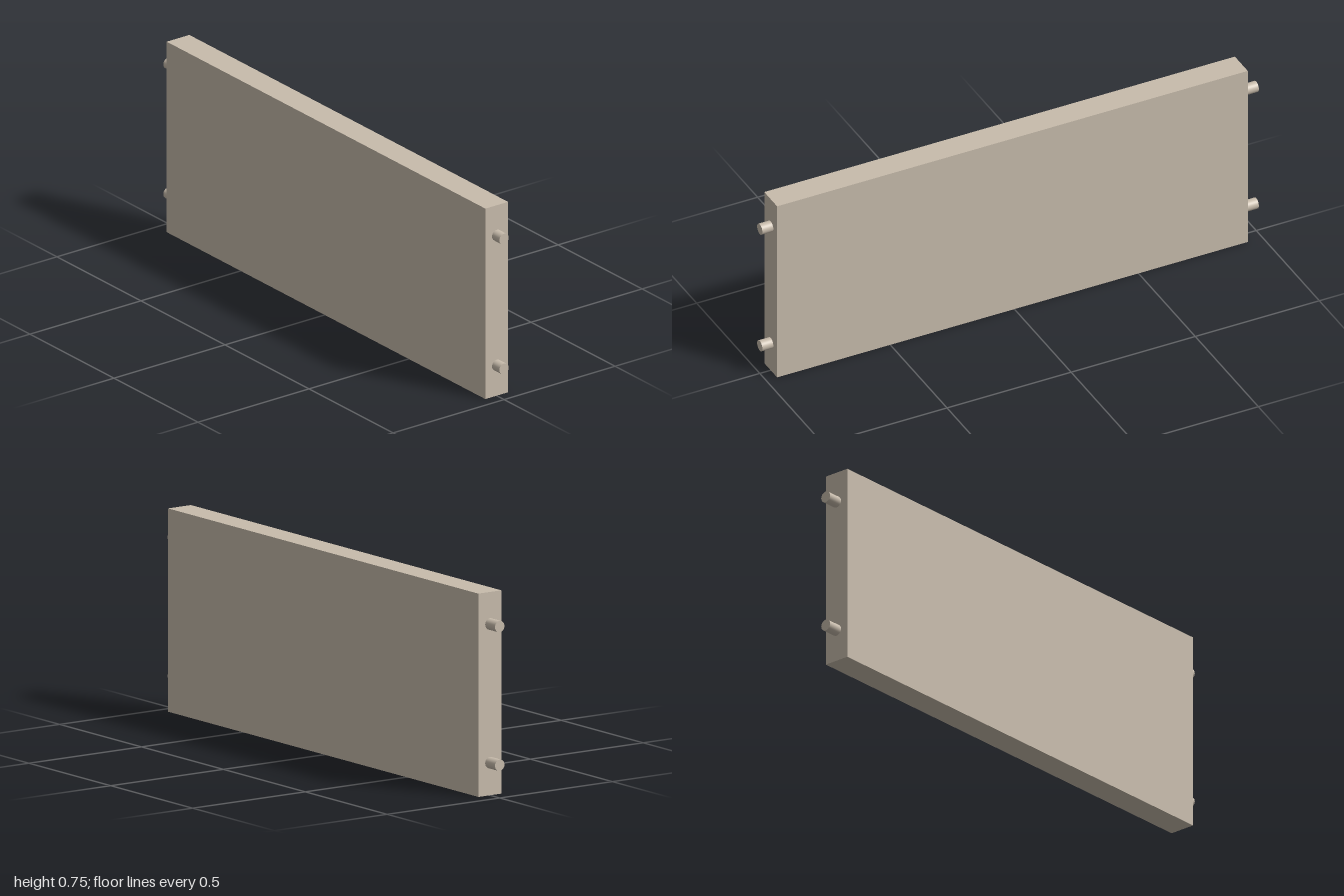
import * as THREE from 'three';

export function createModel() {
  const model = new THREE.Group();
  model.name = 'peggedBoard';
  const wood = new THREE.MeshStandardMaterial({ color: 0xc8bcac });

  const height = 0.745, front = 0.956, back = -0.94;

  // Flat board standing on its long edge
  const board = new THREE.Mesh(new THREE.BoxGeometry(0.102, height, front - back), wood);
  board.name = 'board';
  board.position.set(0, height / 2, (front + back) / 2);
  model.add(board);

  // Two dowel pegs in each end, slightly shorter at the front
  const addPeg = (name, y, z0, z1) => {
    const geometry = new THREE.CylinderGeometry(0.021, 0.021, z1 - z0, 32).rotateX(Math.PI / 2);
    const peg = new THREE.Mesh(geometry, wood);
    peg.name = name;
    peg.position.set(0, y, (z0 + z1) / 2);
    model.add(peg);
  };
  for (const [level, y] of [['Lower', 0.12], ['Upper', 0.628]]) {
    addPeg(`front${level}Peg`, y, front, 1);
    addPeg(`back${level}Peg`, y, -1, back);
  }

  return model;
}
